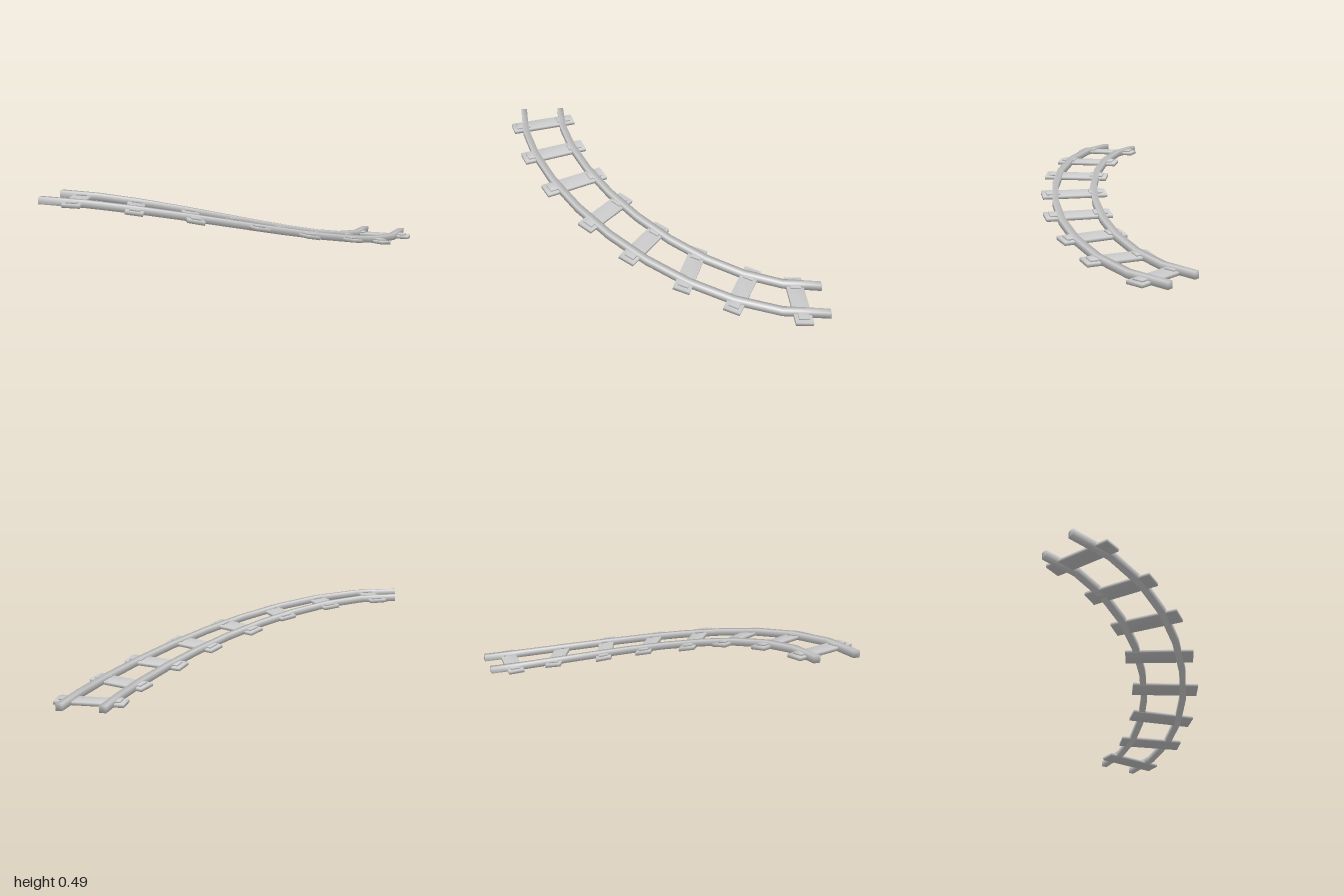
import * as THREE from 'three';
import { mergeVertices } from 'three/addons/utils/BufferGeometryUtils.js';

const material = new THREE.MeshStandardMaterial({ color: 0xcccccc });

// Centre line: a rising quarter turn, flat at both ends
const path = new THREE.CubicBezierCurve3(
  new THREE.Vector3(0.778, 0.025, -1),
  new THREE.Vector3(0.778, 0.025, -0.118),
  new THREE.Vector3(-0.118, 0.467, 0.778),
  new THREE.Vector3(-1, 0.467, 0.778)
);

// Rectangular bar swept along the path at a sideways offset, softly shaded
function railGeometry(offset, width, height, segments) {
  const corners = [[-1, -1], [1, -1], [1, 1], [-1, 1]];
  const positions = [];
  const index = [];
  for (let i = 0; i <= segments; i++) {
    const p = path.getPoint(i / segments);
    const t = path.getTangent(i / segments);
    const out = new THREE.Vector3(t.z, 0, -t.x).normalize();
    for (const [u, v] of corners) {
      const d = offset + (u * width) / 2;
      positions.push(p.x + out.x * d, p.y + (v * height) / 2, p.z + out.z * d);
    }
    if (i === segments) continue;
    for (let k = 0; k < 4; k++) {
      const a = i * 4 + k, b = i * 4 + ((k + 1) % 4);
      index.push(a, b, a + 4, b, b + 4, a + 4);
    }
  }
  // End caps
  const e = segments * 4;
  index.push(0, 2, 1, 0, 3, 2, e, e + 1, e + 2, e, e + 2, e + 3);
  const geometry = new THREE.BufferGeometry();
  geometry.setAttribute('position', new THREE.Float32BufferAttribute(positions, 3));
  geometry.setIndex(index);
  geometry.computeVertexNormals();
  return geometry;
}

// Path parameter closest to a ground position
function nearest(x, z) {
  let best = 0, bestD = Infinity;
  for (let i = 0; i <= 200; i++) {
    const p = path.getPoint(i / 200);
    const d = (p.x - x) ** 2 + (p.z - z) ** 2;
    if (d < bestD) { bestD = d; best = i / 200; }
  }
  return best;
}

// Box with shared corners, so its shading is soft like the rails
function box(name, w, h, d, x, y) {
  const boxGeometry = new THREE.BoxGeometry(w, h, d);
  boxGeometry.deleteAttribute('normal');
  boxGeometry.deleteAttribute('uv');
  const geometry = mergeVertices(boxGeometry);
  geometry.computeVertexNormals();
  const mesh = new THREE.Mesh(geometry, material);
  mesh.name = name;
  mesh.position.set(x, y, 0);
  return mesh;
}

// Wooden sleeper with a small rail plate near each end
function createSleeper(x, z, degrees) {
  const sleeper = new THREE.Group();
  sleeper.name = 'sleeper';
  const t = nearest(x, z);
  sleeper.position.set(x, path.getPoint(t).y - 0.01, z);
  sleeper.rotation.order = 'YXZ';
  sleeper.rotation.y = -THREE.MathUtils.degToRad(degrees);
  sleeper.rotation.x = -Math.asin(path.getTangent(t).y);
  sleeper.add(box('sleeperBoard', 0.44, 0.022, 0.108, 0, 0));
  for (const side of [-1, 1]) {
    sleeper.add(box('railPlate', 0.09, 0.014, 0.065, side * 0.147, 0.015));
  }
  return sleeper;
}

export function createModel() {
  const track = new THREE.Group();
  track.name = 'curvedTrack';

  // Rails
  for (const [name, offset] of [['innerRail', -0.133], ['outerRail', 0.133]]) {
    const rail = new THREE.Mesh(railGeometry(offset, 0.042, 0.044, 10), material);
    rail.name = name;
    track.add(rail);
  }

  // Sleepers, slightly uneven: x, z, turn in degrees
  const sleepers = [
    [0.773, -0.83, 1], [0.693, -0.493, 25.5], [0.545, -0.184, 20.5], [0.347, 0.093, 34.5],
    [0.1, 0.333, 39], [-0.17, 0.536, 62], [-0.48, 0.68, 68], [-0.824, 0.765, 74],
  ];
  for (const s of sleepers) track.add(createSleeper(...s));

  return track;
}
